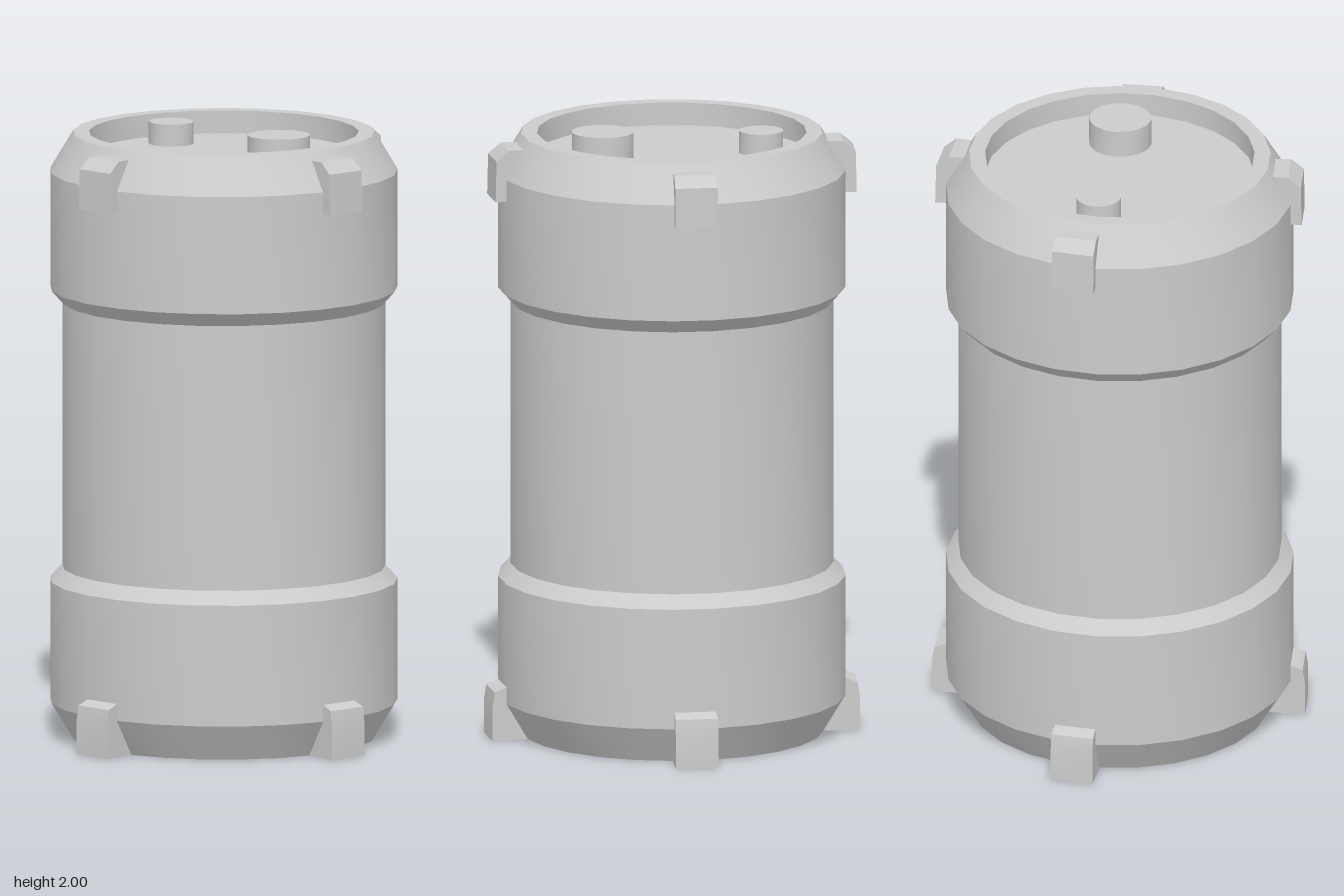
import * as THREE from 'three';
import { toCreasedNormals } from 'three/addons/utils/BufferGeometryUtils.js';

const SIDES = 25;
const STEP = (Math.PI * 2) / SIDES;
const material = new THREE.MeshStandardMaterial({ color: 0xcccccc, side: THREE.DoubleSide });

const toPoints = (list) => list.map(([x, y]) => new THREE.Vector2(x, y));

function addMesh(parent, name, geometry) {
  const mesh = new THREE.Mesh(toCreasedNormals(geometry, 0.45), material);
  mesh.name = name;
  parent.add(mesh);
  return mesh;
}

// Block with a radial side profile, slightly narrower towards the drum axis
function bracketGeometry(profile, width) {
  const geometry = new THREE.ExtrudeGeometry(new THREE.Shape(toPoints(profile)), {
    depth: width, bevelEnabled: false,
  });
  geometry.translate(0, 0, -width / 2);
  const p = geometry.attributes.position;
  for (let i = 0; i < p.count; i++) {
    p.setZ(i, p.getZ(i) * (1 - Math.max(0, 0.6 - p.getX(i)) * 0.9));
  }
  return geometry;
}

export function createModel() {
  const model = new THREE.Group();
  model.name = 'barrel';

  // Drum: base, lower band, waist, upper band, rim and recessed lid
  const profile = toPoints([
    [0, 0], [0.493, 0], [0.565, 0.12], [0.565, 0.517], [0.525, 0.56],
    [0.525, 1.43], [0.565, 1.475], [0.565, 1.86], [0.49, 1.985],
    [0.438, 1.985], [0.438, 1.91], [0, 1.91],
  ]);
  addMesh(model, 'drum', new THREE.LatheGeometry(profile, SIDES, Math.PI));

  // Two caps on the lid
  for (const [name, radius, z, top] of [['largeCap', 0.102, 0.235, 2], ['smallCap', 0.073, -0.29, 1.982]]) {
    const height = top - 1.9;
    const cap = addMesh(model, name, new THREE.CylinderGeometry(radius, radius, height, 16));
    cap.position.set(0.03, top - height / 2, z);
  }

  // Clips on the shoulder and feet at the base, each centred on a drum facet
  const clip = bracketGeometry([
    [0.46, 1.788], [0.597, 1.788], [0.594, 1.922], [0.553, 1.957], [0.495, 1.957], [0.46, 1.94],
  ], 0.14);
  const foot = bracketGeometry([
    [0.46, 0], [0.608, 0], [0.608, 0.11], [0.6, 0.16], [0.557, 0.177], [0.46, 0.177],
  ], 0.14);
  for (const [side, facet] of [['front', 0], ['left', 6], ['back', 12], ['right', -6]]) {
    const angle = facet * STEP - Math.PI / 2;
    addMesh(model, side + 'Clip', clip).rotation.y = angle;
    addMesh(model, side + 'Foot', foot).rotation.y = angle;
  }

  return model;
}
